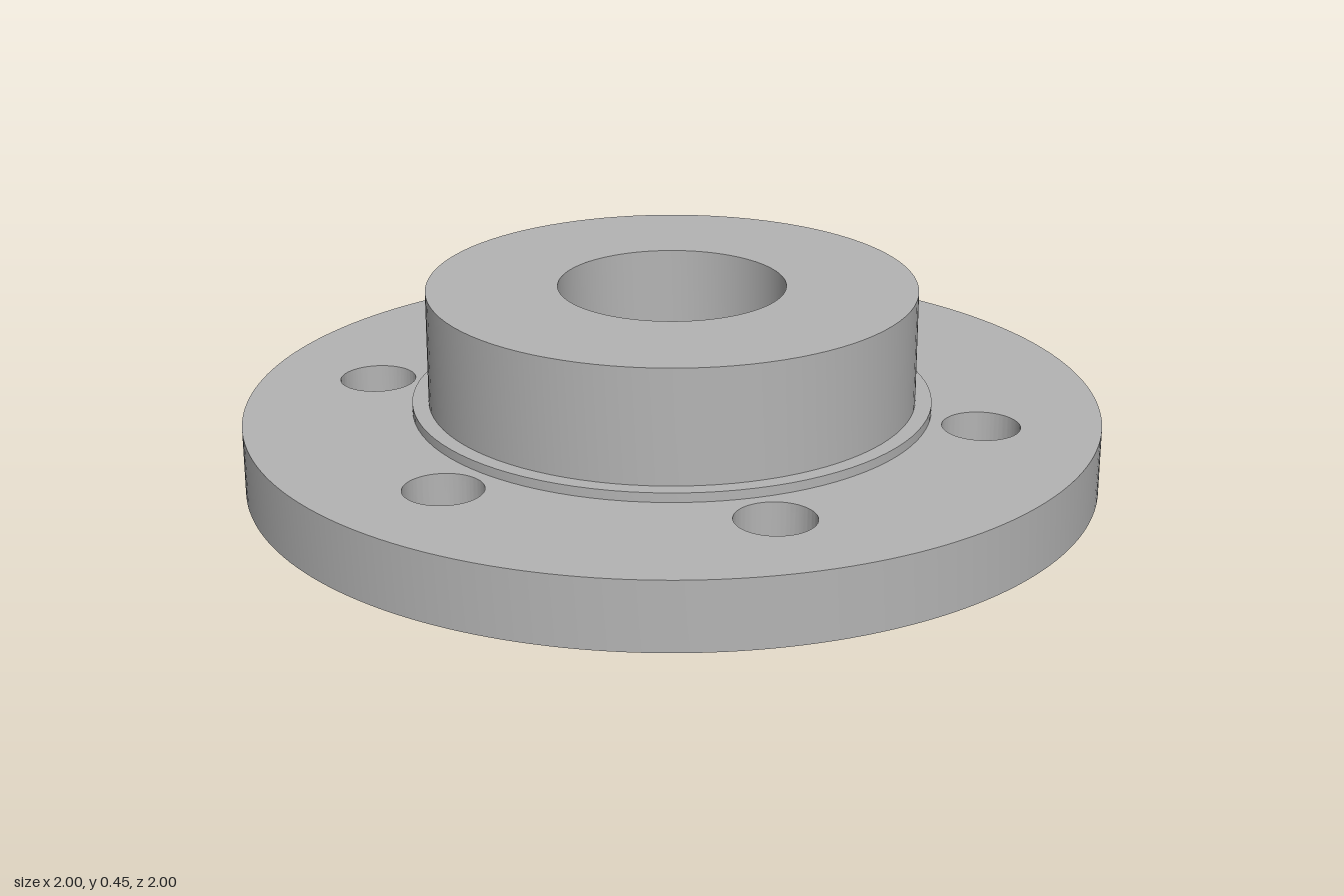
import * as THREE from 'three';
import { toCreasedNormals } from 'three/addons/utils/BufferGeometryUtils.js';

const PLATE_HEIGHT = 0.16;
const BOLT_COUNT = 6;

function circlePath(x, y, radius) {
  return new THREE.Path().absarc(x, y, radius, 0, Math.PI * 2, true);
}

export function createModel() {
  const model = new THREE.Group();
  model.name = 'flange';
  const steel = new THREE.MeshStandardMaterial({ color: 0xb4b4b4 });
  steel.name = 'steel grey';

  function addPart(name, geometry) {
    const mesh = new THREE.Mesh(toCreasedNormals(geometry, 0.5), steel);
    mesh.name = name;
    model.add(mesh);
  }

  // Round base plate with a ring of bolt holes and the counterbore
  const disc = new THREE.Shape().absarc(0, 0, 1, 0, Math.PI * 2, false);
  disc.holes.push(circlePath(0, 0, 0.41));
  for (let i = 0; i < BOLT_COUNT; i++) {
    const angle = (i / BOLT_COUNT) * Math.PI * 2;
    disc.holes.push(circlePath(0.727 * Math.cos(angle), 0.727 * Math.sin(angle), 0.09));
  }
  const plate = new THREE.ExtrudeGeometry(disc, {
    depth: PLATE_HEIGHT, bevelEnabled: false, curveSegments: 96,
  });
  plate.rotateX(-Math.PI / 2);
  addPart('basePlate', plate);

  // Hub with a low collar, a through bore and a stepped seat underneath
  const profile = [
    [0.41, PLATE_HEIGHT], [0.608, PLATE_HEIGHT], // joint with the plate
    [0.608, 0.182], [0.57, 0.182],               // collar
    [0.57, 0.45], [0.265, 0.45],                 // hub wall and top
    [0.265, 0.2], [0.32, 0.2],                   // bore and inner step
    [0.32, 0.18], [0.41, 0.18], [0.41, PLATE_HEIGHT], // counterbore seat
  ].map(([r, y]) => new THREE.Vector2(r, y));
  addPart('hub', new THREE.LatheGeometry(profile, 96));

  return model;
}
